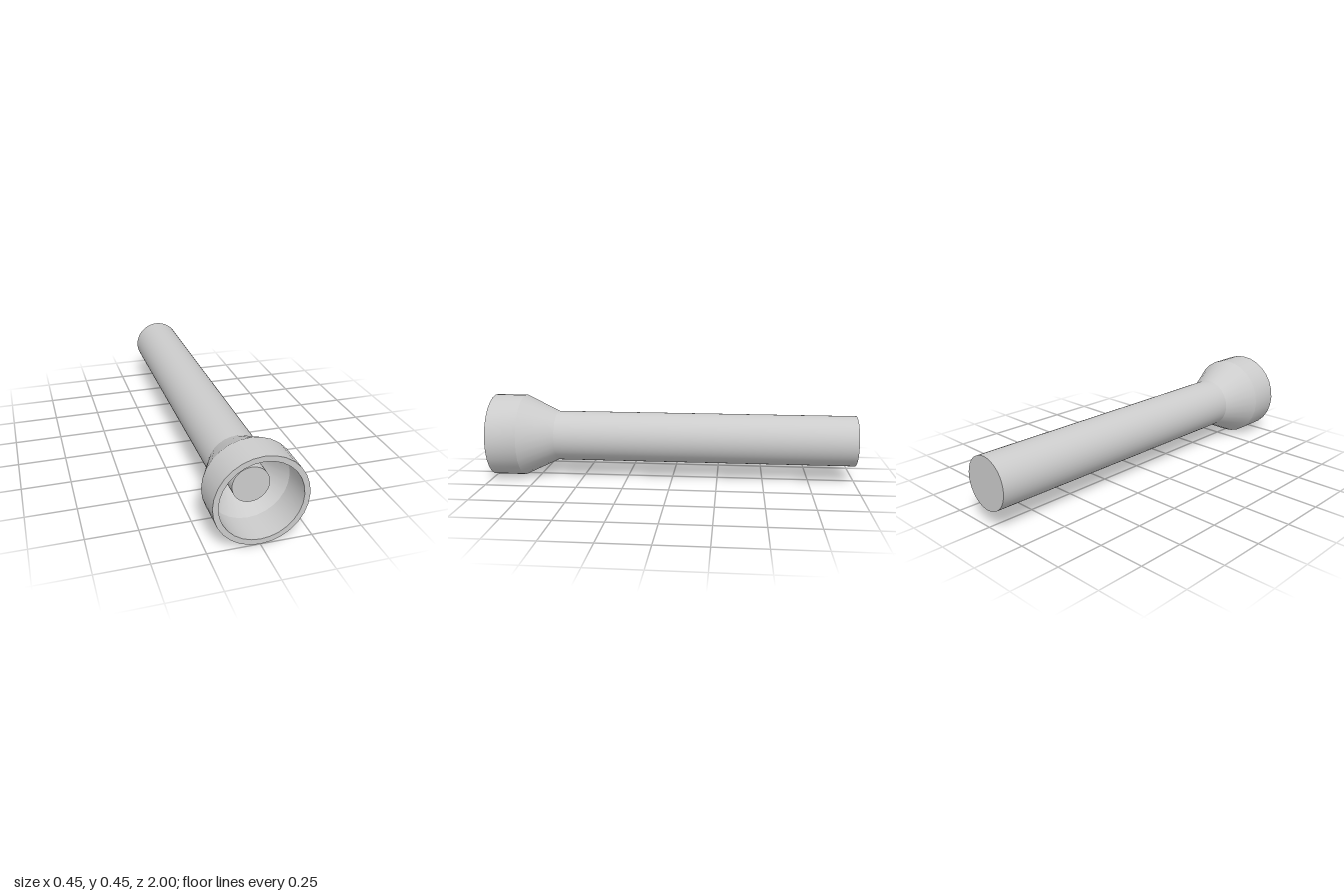
import * as THREE from 'three';
import { toCreasedNormals } from 'three/addons/utils/BufferGeometryUtils.js';

const AXIS_Y = 0.226;

export function createModel() {
  const group = new THREE.Group();
  group.name = 'flashlight';
  const material = new THREE.MeshStandardMaterial({ color: 0xcccccc });

  const add = (name, geometry) => {
    const mesh = new THREE.Mesh(geometry, material);
    mesh.name = name;
    group.add(mesh);
  };

  // Solid cylinder lying along z, from z0 to z1
  const rod = (radius, z0, z1, sides) =>
    new THREE.CylinderGeometry(radius, radius, z1 - z0, sides)
      .rotateX(Math.PI / 2)
      .translate(0, AXIS_Y, (z0 + z1) / 2);

  // Long handle and the bulb at the bottom of the reflector
  add('handle', rod(0.137, -1, 0.645, 48));
  add('bulb', rod(0.091, 0.64, 0.86, 48));

  // Hollow head: outer cone and collar, flat rim, then reflector inside
  const profile = [
    [0.137, 0.643], [0.226, 0.83], [0.226, 1],
    [0.199, 1], [0.199, 0.83], [0.109, 0.643],
  ].map(([r, z]) => new THREE.Vector2(r, z));
  const head = new THREE.LatheGeometry(profile, 28)
    .rotateX(Math.PI / 2)
    .translate(0, AXIS_Y, 0);
  add('head', toCreasedNormals(head, 0.3));

  return group;
}
